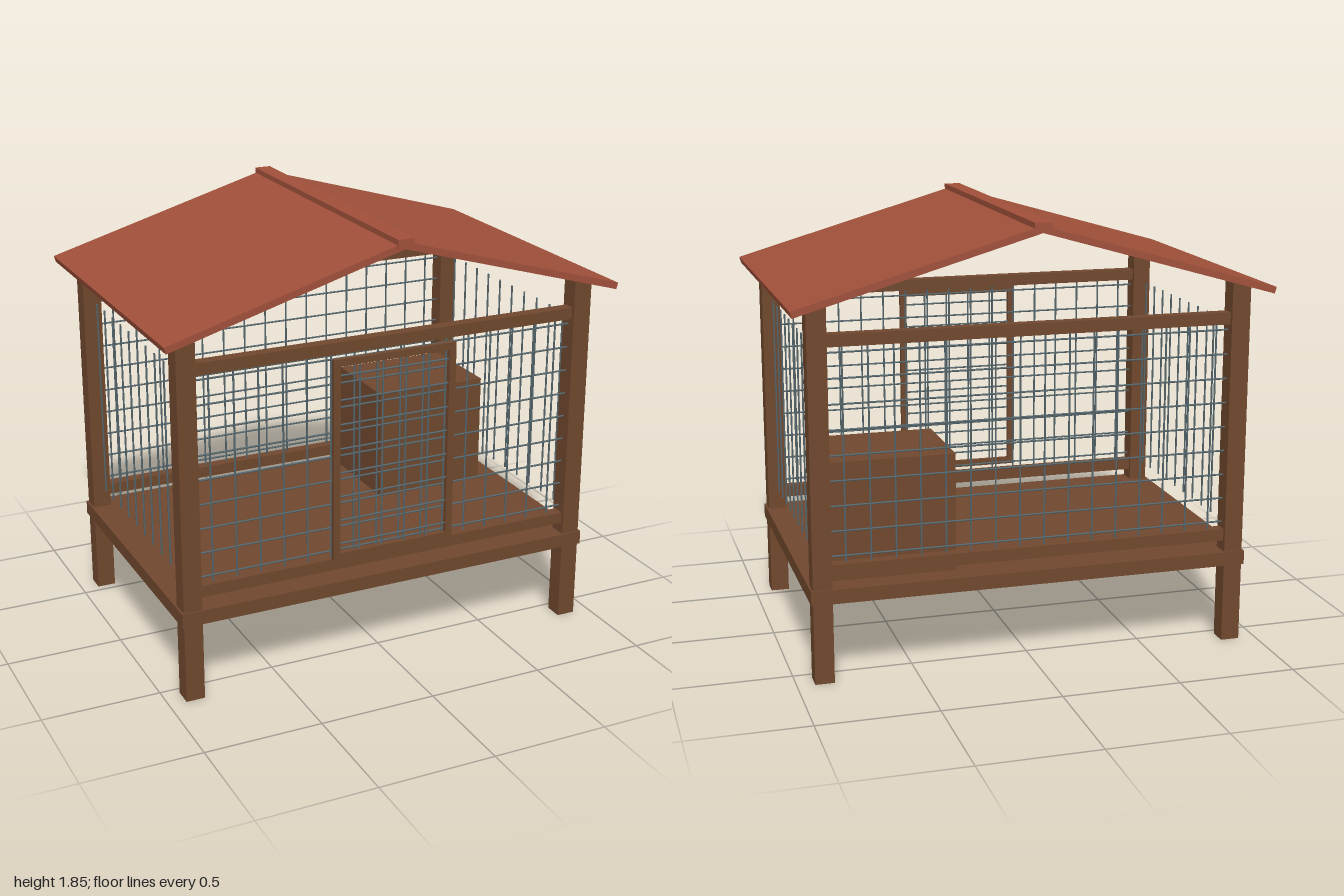
import * as THREE from 'three';

export function createModel() {
  const model = new THREE.Group();
  model.name = 'hutch';
  const material = (name, color) => {
    const m = new THREE.MeshStandardMaterial({ color });
    m.name = name;
    return m;
  };
  const wood = material('brown wood', 0x6f472d);
  const roofRed = material('red roof', 0xa0503a);
  const steel = material('steel wire', 0x56686e);

  const box = (name, w, h, d, x, y, z, mat = wood, parent = model) => {
    const mesh = new THREE.Mesh(new THREE.BoxGeometry(w, h, d), mat);
    mesh.name = name;
    mesh.position.set(x, y, z);
    parent.add(mesh);
    return mesh;
  };
  const group = (name) => {
    const g = new THREE.Group();
    g.name = name;
    model.add(g);
    return g;
  };
  // Thin round wire, upright or lying along x
  const wire = (parent, length, x, y, z, along = 'y') => {
    const mesh = new THREE.Mesh(new THREE.CylinderGeometry(0.004, 0.004, length, 6), steel);
    mesh.name = 'wire';
    mesh.position.set(x, y, z);
    if (along === 'x') mesh.rotation.z = Math.PI / 2;
    parent.add(mesh);
  };

  // Floor, corner posts and nest box
  box('floor', 1.87, 0.06, 1.245, 0, 0.37, 0);
  for (const x of [-0.886, 0.886])
    for (const z of [-0.575, 0.575]) box('cornerPost', 0.08, 1.56, 0.08, x, 0.78, z);
  box('nestBox', 0.52, 0.5, 0.42, 0.57, 0.648, -0.31);

  // Front and back walls: two rails and a wire grid
  const step = 0.1042;
  for (const z of [-0.575, 0.575]) {
    const wall = group(z > 0 ? 'frontWall' : 'backWall');
    box('lowerRail', 1.7, 0.05, 0.05, 0, 0.472, z, wood, wall);
    box('upperRail', 1.7, 0.05, 0.05, 0, 1.41, z, wood, wall);
    for (let i = 0; i < 16; i++) wire(wall, 0.89, (i - 7.5) * step, 0.94, z);
    for (let i = 0; i < 9; i++) wire(wall, 1.7, 0, 0.942 + (i - 4) * step, z, 'x');
  }

  // Side walls: upright wires only
  for (const x of [-0.886, 0.886]) {
    const wall = group(x > 0 ? 'leftWall' : 'rightWall');
    for (let i = 0; i < 10; i++) wire(wall, 0.88, x, 0.94, (i - 4.5) * 0.1045);
  }

  // Framed wire door on the front
  const door = group('door');
  for (const s of [-1, 1]) {
    box('doorStile', 0.03, 0.87, 0.02, s * 0.26, 0.94, 0.625, wood, door);
    box('doorRail', 0.49, 0.03, 0.02, 0, 0.94 + s * 0.42, 0.625, wood, door);
  }
  for (let i = 0; i < 4; i++) wire(door, 0.82, (i - 1.5) * step, 0.94, 0.625);
  for (let i = 0; i < 8; i++) wire(door, 0.5, 0, 0.94 + (i - 3.5) * step, 0.625, 'x');

  // Two sloping roof panels and the ridge cap
  for (const s of [-1, 1]) {
    const profile = new THREE.Shape([[0, 1.81], [0.992, 1.524], [1, 1.551], [0, 1.839]]
      .map(([x, y]) => new THREE.Vector2(s * x, y)));
    const panel = new THREE.Mesh(
      new THREE.ExtrudeGeometry(profile, { depth: 1.4, bevelEnabled: false }), roofRed);
    panel.name = 'roofPanel';
    panel.position.z = -0.7;
    model.add(panel);
  }
  box('ridgeCap', 0.07, 0.04, 1.41, 0, 1.832, 0, roofRed);

  return model;
}
